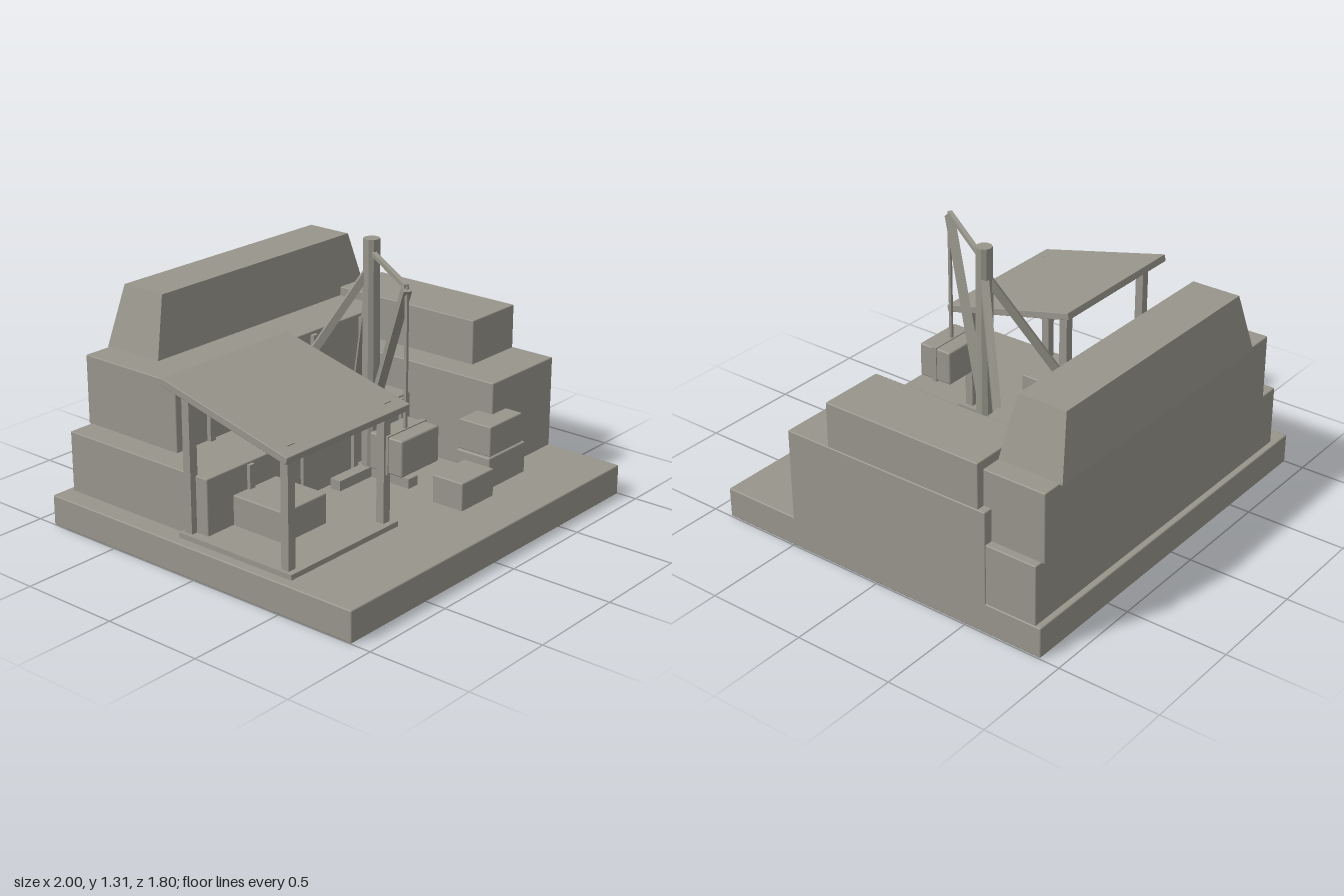
import * as THREE from 'three';
import { RoundedBoxGeometry } from 'three/addons/geometries/RoundedBoxGeometry.js';

export function createModel() {
  const model = new THREE.Group();
  const stone = new THREE.MeshStandardMaterial({ color: 0x97958b });
  stone.name = 'warm grey';

  const add = (name, geometry, x = 0, y = 0, z = 0) => {
    const mesh = new THREE.Mesh(geometry, stone);
    mesh.name = name;
    mesh.position.set(x, y, z);
    model.add(mesh);
    return mesh;
  };
  // box given by its limits, optionally with softened edges
  const block = (name, x0, x1, y0, y1, z0, z1, bevel = 0) => {
    const size = [x1 - x0, y1 - y0, z1 - z0];
    const geometry = bevel ? new RoundedBoxGeometry(...size, 1, bevel) : new THREE.BoxGeometry(...size);
    return add(name, geometry, (x0 + x1) / 2, (y0 + y1) / 2, (z0 + z1) / 2);
  };
  // square timber between two points
  const beam = (name, a, b, width) => {
    const from = new THREE.Vector3(...a), to = new THREE.Vector3(...b);
    const mesh = add(name, new THREE.BoxGeometry(width, width, from.distanceTo(to)));
    mesh.position.copy(from).lerp(to, 0.5);
    mesh.lookAt(to);
    return mesh;
  };

  // ground slab and stepped terraces
  block('groundSlab', -1, 0.995, 0, 0.15, -0.9, 0.9, 0.006);
  block('lowerTerrace', -0.9, 0.99, 0.14, 0.445, -0.87, 0, 0.005);
  block('upperTerrace', -0.77, 0.95, 0.44, 0.78, -0.885, -0.31, 0.005);
  block('sideTerrace', 0.51, 0.995, 0.14, 0.605, -0.61, 0.495, 0.005);
  block('sideUpperTerrace', 0.66, 0.99, 0.6, 0.825, -0.57, 0.262, 0.005);

  // tapered cap along the back
  const cap = new THREE.BoxGeometry(1.47, 0.295, 0.33).toNonIndexed();
  const p = cap.attributes.position;
  for (let i = 0; i < p.count; i++) {
    if (p.getY(i) > 0) p.setXYZ(i, p.getX(i) * 0.89, p.getY(i), p.getZ(i) * 0.74);
  }
  cap.computeVertexNormals();
  add('backCap', cap, 0.115, 0.9225, -0.733);

  // pilasters on the terrace walls
  for (let i = 0; i < 4; i++) {
    const xl = -0.63 + i * 0.357, xu = -0.56 + i * 0.357;
    block('lowerPilaster', xl - 0.016, xl + 0.016, 0.15, 0.435, -0.01, 0.018);
    block('upperPilaster', xu - 0.016, xu + 0.016, 0.445, 0.765, -0.32, -0.288);
  }

  // shelter: floor, posts and sloping roof
  block('shelterFloor', -0.95, -0.235, 0.145, 0.175, -0.13, 0.53);
  for (const x of [-0.91, -0.28]) {
    block('frontPost', x - 0.022, x + 0.022, 0.17, 0.748, 0.458, 0.5);
    block('backPost', x - 0.022, x + 0.022, 0.17, 0.855, -0.11, -0.068);
  }
  const roof = add('shelterRoof', new RoundedBoxGeometry(0.805, 0.035, 0.738, 1, 0.003), -0.5975, 0.8, 0.196);
  roof.rotation.x = 0.24;

  // crates on the ground
  block('shelterCrate', -0.74, -0.455, 0.17, 0.32, 0, 0.3, 0.006);
  block('middleCrate', 0.075, 0.315, 0.145, 0.285, 0.482, 0.652, 0.006);
  block('lowerCrate', 0.355, 0.64, 0.145, 0.303, 0.405, 0.597, 0.006);
  block('upperCrate', 0.37, 0.622, 0.303, 0.452, 0.405, 0.588, 0.006);

  // crane mast on crossed feet
  block('crossFoot', -0.11, 0.4, 0.145, 0.2, 0.025, 0.085);
  block('crossFoot', 0.117, 0.183, 0.145, 0.198, -0.2, 0.31);
  const mast = new THREE.CylinderGeometry(0.039, 0.044, 1.16, 10).toNonIndexed();
  mast.computeVertexNormals();
  add('mast', mast, 0.147, 0.73, 0.055);

  // back braces, boom and top tie
  for (const x of [-0.17, 0.475]) {
    beam('backBrace', [0.15, 1.18, 0.055], [x, 0.45, -0.3], 0.036);
  }
  const tip = [-0.155, 1.235, 0.5];
  beam('boom', [0.14, 0.47, 0.07], tip, 0.038);
  beam('topTie', [0.15, 1.243, 0.055], [-0.158, 1.243, 0.5], 0.022);

  // load hanging from the boom
  block('hoistRope', -0.161, -0.147, 0.58, 1.24, 0.493, 0.507);
  block('hangingCrate', -0.285, -0.023, 0.413, 0.585, 0.405, 0.588, 0.008);
  block('crateStrap', -0.29, -0.018, 0.408, 0.59, 0.485, 0.512);

  return model;
}
